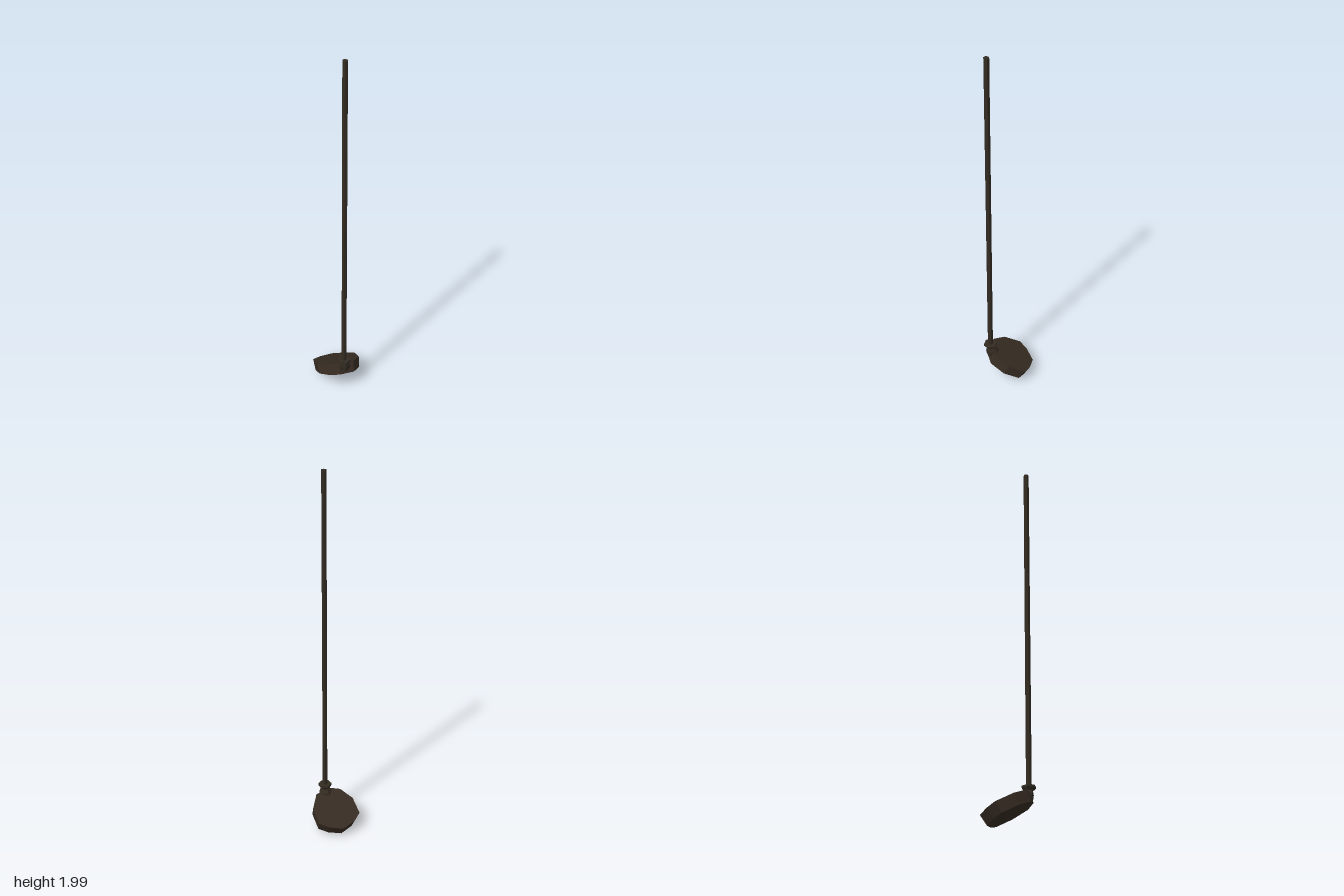
import * as THREE from 'three';

const mat = (name, color) => {
  const m = new THREE.MeshStandardMaterial({ color, flatShading: true });
  m.name = name;
  return m;
};

export function createModel() {
  const group = new THREE.Group();
  const headBrown = mat('dark brown', 0x372c23);
  const shaftBrown = mat('dark olive brown', 0x322b21);

  const add = (name, geometry, material) => {
    const mesh = new THREE.Mesh(geometry, material);
    mesh.name = name;
    group.add(mesh);
    return mesh;
  };

  // Shaft: long thin hexagonal rod
  const shaftX = -0.07, shaftZ = 0.09;
  const shaft = add('shaft', new THREE.CylinderGeometry(0.0145, 0.0145, 1.84, 6), shaftBrown);
  shaft.position.set(shaftX, 1.08, shaftZ);

  // Collar: hexagonal hourglass whose lower rings lean into the head
  const rings = [
    { y: 0.145, r: 0.034, lean: 0.009 },
    { y: 0.172, r: 0.035, lean: 0.007 },
    { y: 0.192, r: 0.025, lean: 0.003 },
    { y: 0.205, r: 0.037, lean: 0 },
    { y: 0.215, r: 0.037, lean: 0 },
  ];
  for (let i = 0; i < rings.length - 1; i++) {
    const a = rings[i], b = rings[i + 1];
    const g = new THREE.CylinderGeometry(b.r, a.r, b.y - a.y, 6, 1, i > 0 && i < rings.length - 2);
    g.rotateY(Math.PI / 2);
    const p = g.attributes.position;
    for (let k = 0; k < p.count; k++) {
      const lean = p.getY(k) > 0 ? b.lean : a.lean;
      p.setX(k, p.getX(k) + shaftX + lean);
      p.setZ(k, p.getZ(k) + shaftZ - lean);
    }
    g.translate(0, (a.y + b.y) / 2, 0);
    g.computeVertexNormals();
    add('collar' + (i + 1), g, shaftBrown);
  }

  // Head: faceted plate outline as (x, z), sloping down to the left and rear
  const outline = [
    [-0.058, -0.13], [0, -0.128], [0.075, -0.1], [0.115, -0.035], [0.13, 0.02],
    [0.075, 0.088], [-0.01, 0.112], [-0.088, 0.07], [-0.117, 0.02], [-0.112, -0.06],
  ];
  const shape = new THREE.Shape(outline.map(([x, z]) => new THREE.Vector2(x, -z)));
  const head = new THREE.ExtrudeGeometry(shape, { depth: 1, bevelEnabled: false });
  head.rotateX(-Math.PI / 2);
  const pos = head.attributes.position;
  const slopeX = -0.34, slopeZ = 0.38, thickness = 0.055;
  for (let i = 0; i < pos.count; i++) {
    const bottom = pos.getY(i) < 0.5;
    const s = bottom ? 0.95 : 1;
    const x = pos.getX(i) * s, z = pos.getZ(i) * s;
    const y = 0.125 + slopeX * x + slopeZ * z;
    // The underside is offset along the plate's normal and slightly smaller
    const t = bottom ? thickness : 0;
    pos.setXYZ(i, x + slopeX * t, y - t, z + slopeZ * t);
  }
  head.computeVertexNormals();
  add('head', head, headBrown);

  return group;
}
